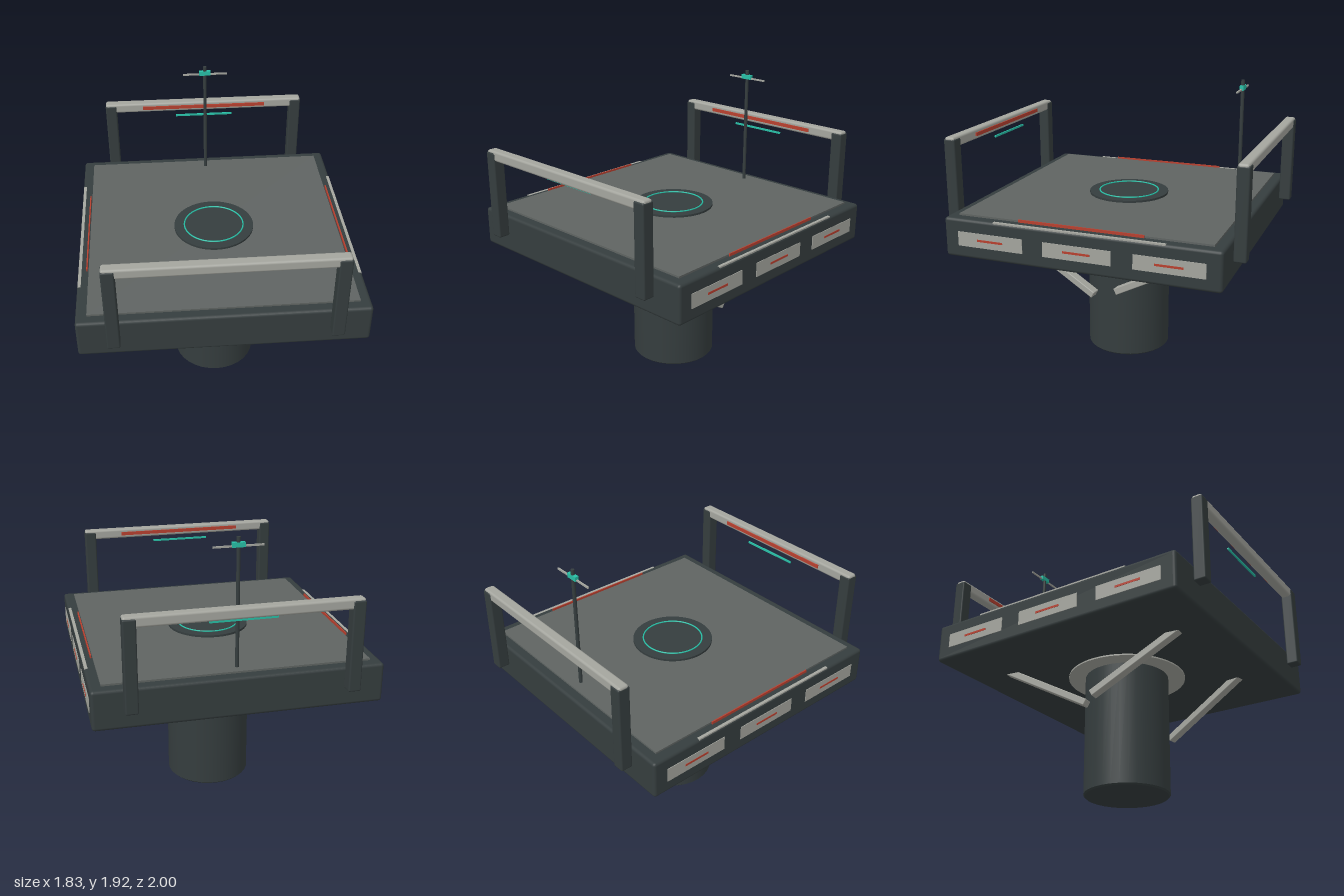
import * as THREE from 'three';
import { RoundedBoxGeometry } from 'three/addons/geometries/RoundedBoxGeometry.js';

const mat = (name, color) => {
  const m = new THREE.MeshStandardMaterial({ color });
  m.name = name;
  return m;
};

export function createModel() {
  const dark = mat('darkMetal', 0x353d3e);
  const deckGrey = mat('deckGrey', 0x5f6462);
  const light = mat('lightMetal', 0xa4a59e);
  const red = mat('redLight', 0xb8402f);
  const teal = mat('tealLight', 0x28bfa6);

  const root = new THREE.Group();
  root.name = 'pedestalPlatform';

  const add = (name, geo, material, x = 0, y = 0, z = 0, parent = root) => {
    const mesh = new THREE.Mesh(geo, material);
    mesh.name = name;
    mesh.position.set(x, y, z);
    parent.add(mesh);
    return mesh;
  };
  const box = (w, h, d) => new THREE.BoxGeometry(w, h, d);
  const rounded = (w, h, d, r) => new RoundedBoxGeometry(w, h, d, 2, r);
  const disc = (r, h) => new THREE.CylinderGeometry(r, r, h, 48);

  // Pedestal with a small bevel at the foot, and the flange under the slab
  add('pedestal', new THREE.CylinderGeometry(0.285, 0.285, 0.835, 32), dark, 0, 0.4275, 0);
  add('pedestalFoot', new THREE.CylinderGeometry(0.285, 0.275, 0.01, 32), dark, 0, 0.005, 0);
  add('flange', disc(0.4, 0.02), light, 0, 0.84, 0);

  // Platform slab and deck
  add('slab', rounded(1.82, 0.258, 1.82, 0.02), dark, 0, 0.969, 0);
  add('deck', box(1.68, 0.02, 1.68), deckGrey, 0, 1.1, 0);

  // Centre pad with its glowing ring
  add('centrePad', disc(0.27, 0.015), dark, 0, 1.1165, 0);
  const ring = add('padRing', new THREE.TorusGeometry(0.201, 0.005, 8, 64), teal, 0, 1.127, 0);
  ring.rotation.x = Math.PI / 2;

  // Side panels, edge strips and warning strips
  for (const s of [1, -1]) {
    for (const z of [-0.588, 0, 0.588]) {
      add('sidePanel', box(0.008, 0.095, 0.45), light, s * 0.91, 0.968, z);
      add('panelLight', box(0.008, 0.014, 0.178), red, s * 0.9125, 0.969, z);
    }
    add('edgeStrip', box(0.02, 0.014, 1.13), light, s * 0.896, 1.0925, 0);
    add('deckWarningStrip', box(0.008, 0.018, 0.83), red, s * 0.851, 1.111, 0);
  }

  // Railings at the front and back
  for (const s of [1, -1]) {
    const rail = new THREE.Group();
    rail.name = s > 0 ? 'frontRailing' : 'backRailing';
    root.add(rail);
    for (const x of [0.682, -0.682]) {
      add('railPost', rounded(0.08, 0.585, 0.08, 0.01), dark, x, 1.2625, s * 0.96, rail);
    }
    add('topRail', rounded(1.44, 0.068, 0.07, 0.015), light, 0, 1.534, s * 0.959, rail);
    add('railRedStrip', box(0.9, 0.024, 0.01), red, 0, 1.534, s * 0.921, rail);
    add('railTealStrip', box(0.415, 0.013, 0.01), teal, 0, 1.47, s * 0.914, rail);
  }

  // Mast with crossbar and hub
  add('mast', new THREE.CylinderGeometry(0.012, 0.012, 0.82, 12), dark, 0, 1.515, -0.77);
  add('crossbar', box(0.31, 0.011, 0.01), light, 0, 1.868, -0.77);
  add('crossbarHub', box(0.08, 0.03, 0.026), teal, 0, 1.877, -0.77);

  // Slanted braces; the front and back pairs cross when seen from the front
  for (const sx of [1, -1]) {
    for (const sz of [1, -1]) {
      const foot = new THREE.Vector3(sx * (sz > 0 ? 0.495 : 0.392), 0.532, sz * 0.057);
      const head = new THREE.Vector3(sx * (sz > 0 ? 0.42 : 0.475), 0.87, sz * 0.667);
      const brace = add('brace', rounded(0.062, 0.046, foot.distanceTo(head), 0.006), light);
      brace.position.copy(foot).lerp(head, 0.5);
      brace.lookAt(head);
    }
  }
  return root;
}
